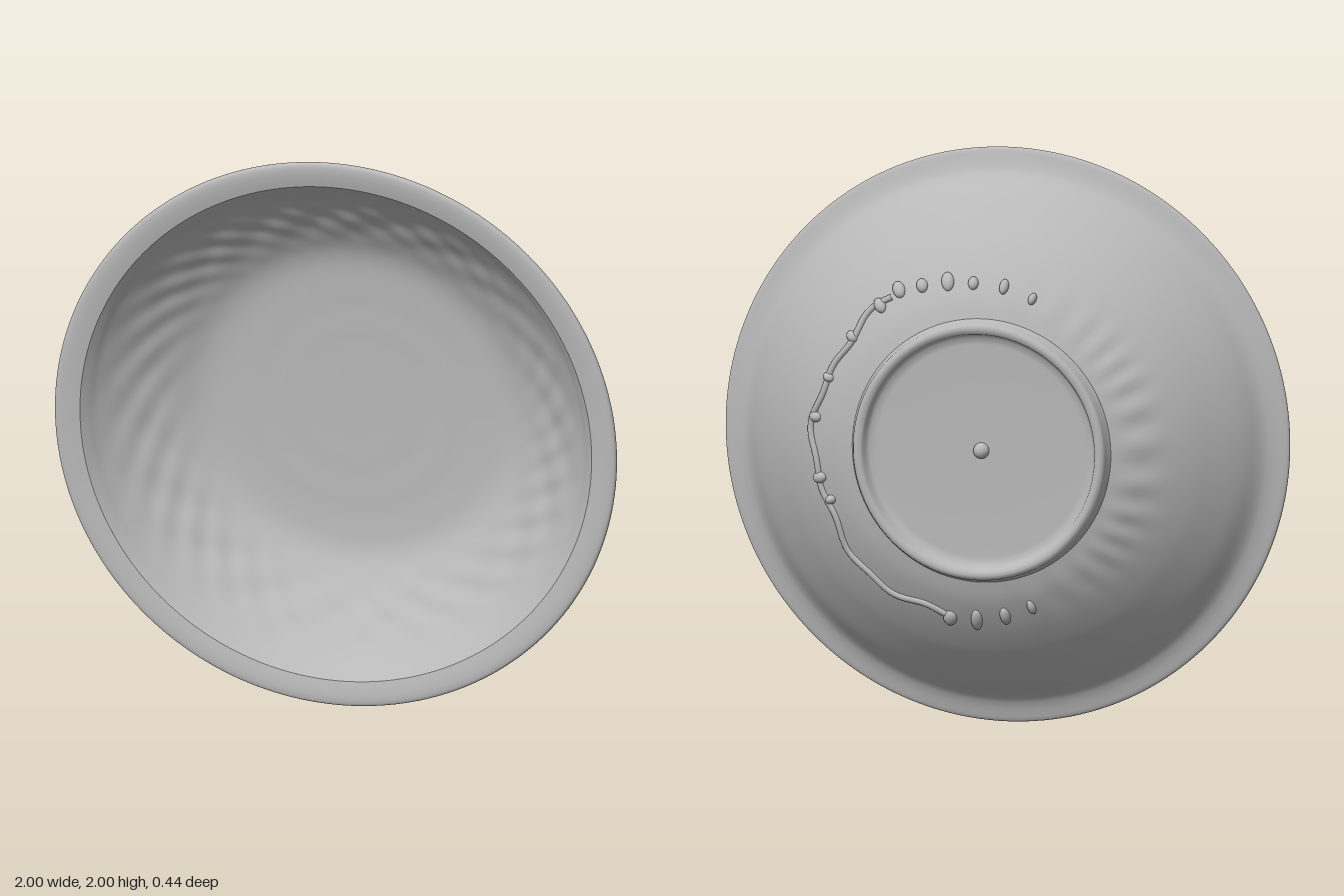
import * as THREE from 'three';
import { mergeVertices } from 'three/addons/utils/BufferGeometryUtils.js';

const v2 = (a) => a.map(([r, z]) => new THREE.Vector2(r, z));
const smooth = (pts, n) => new THREE.SplineCurve(v2(pts)).getPoints(n);
const bell = (v, centre, width) => Math.exp(-(((v - centre) / width) ** 2));

// profile pieces as (radius, depth along the bowl's axis)
const outerWall = smooth([[0.458, -0.172], [0.53, -0.148], [0.62, -0.1], [0.7, -0.045], [0.76, 0.005],
  [0.85, 0.09], [0.905, 0.155], [0.94, 0.178], [0.985, 0.192]], 40);
const innerWall = smooth([[0.91, 0.207], [0.888, 0.18], [0.86, 0.142], [0.8, 0.08], [0.72, 0.013],
  [0.63, -0.05], [0.55, -0.09], [0.45, -0.105], [0.25, -0.113], [0.0, -0.115]], 56);

// depth of the outer wall at a radius
function outerDepth(r) {
  const i = Math.max(1, outerWall.findIndex((p) => p.x >= r));
  const a = outerWall[i - 1], b = outerWall[i];
  return a.y + ((r - a.x) / (b.x - a.x)) * (b.y - a.y);
}

// lathe a profile about z, shift its depth by a rule, and weld the seam
function turned(name, profile, material, rule) {
  let geo = new THREE.LatheGeometry(profile, 200);
  geo.rotateX(Math.PI / 2);
  const p = geo.attributes.position;
  for (let i = 0; i < p.count; i++) {
    const x = p.getX(i), y = p.getY(i);
    p.setZ(i, p.getZ(i) + rule(Math.hypot(x, y), Math.atan2(y, x)));
  }
  geo.deleteAttribute('normal');
  geo.deleteAttribute('uv');
  geo = mergeVertices(geo, 1e-5);
  geo.computeVertexNormals();
  const mesh = new THREE.Mesh(geo, material);
  mesh.name = name;
  return mesh;
}

export function createModel() {
  const clay = new THREE.MeshStandardMaterial({ color: 0xb8b8b8 });
  clay.name = 'grey glaze';
  const group = new THREE.Group();
  group.name = 'bowl';
  const dish = new THREE.Group();
  dish.name = 'dish';
  dish.position.y = 1;
  group.add(dish);

  // outside with soft radial furrows around one side of the foot
  dish.add(turned('outerWall', outerWall, clay, (r, a) =>
    0.005 * bell(r, 0.56, 0.06) * Math.max(0, -Math.cos(a)) * Math.sin(34 * a + 2 * Math.sin(5 * a))));

  // rounded lip joining outside and inside
  dish.add(turned('rim', smooth([[0.985, 0.192], [0.996, 0.197], [0.999, 0.206], [0.992, 0.216],
    [0.97, 0.218], [0.94, 0.214], [0.91, 0.207]], 20), clay, () => 0));

  // inside with a hand-worked uneven wall and faint throwing rings on the floor
  dish.add(turned('innerWall', innerWall, clay, (r, a) =>
    0.0035 * bell(r, 0.74, 0.09) * (Math.sin(19 * a + 40 * r) + Math.sin(31 * a - 55 * r + 2 * Math.sin(3 * a)))
    + 0.001 * bell(r, 0.3, 0.15) * Math.sin(45 * r + a)));

  // foot ring and recessed underside, with a slightly uneven edge
  const foot = v2([[0, -0.174], [0.2, -0.176], [0.37, -0.178], [0.395, -0.182], [0.405, -0.195], [0.41, -0.212],
    [0.417, -0.221], [0.43, -0.223], [0.441, -0.22], [0.446, -0.21], [0.449, -0.19], [0.458, -0.172]]);
  dish.add(turned('footRing', foot, clay, (r, a) =>
    0.0025 * bell(r, 0.425, 0.015) * Math.sin(5 * a + Math.sin(3 * a))));

  // small turning nub in the middle of the underside
  const nub = new THREE.Mesh(new THREE.SphereGeometry(0.028, 20, 14), clay);
  nub.name = 'centreNub';
  nub.position.set(0, 0, -0.175);
  dish.add(nub);

  // wavy edge where the glaze stopped
  const edgeRadius = (a) => 0.605 + 0.012 * Math.sin(7 * a + 1) + 0.007 * Math.sin(17 * a);
  const onWall = (a, r, lift = 0) =>
    new THREE.Vector3(r * Math.cos(a), r * Math.sin(a), outerDepth(r) - lift);
  const path = [];
  for (let i = 0; i <= 90; i++) {
    const a = THREE.MathUtils.degToRad(-78 + i * 1.5);
    path.push(onWall(a, edgeRadius(a)));
  }
  const edge = new THREE.Mesh(
    new THREE.TubeGeometry(new THREE.CatmullRomCurve3(path), 220, 0.012, 10), clay);
  edge.name = 'glazeEdge';
  dish.add(edge);

  // beads of glaze: angle in degrees, radius on the wall, length, width
  const beads = [[52, 0.61, 0.03, 0.02], [60, 0.62, 0.032, 0.022], [68, 0.6, 0.026, 0.02], [77, 0.59, 0.035, 0.022],
    [86, 0.575, 0.024, 0.018], [97, 0.57, 0.028, 0.016], [108, 0.555, 0.022, 0.014], [38, 0.6, 0.024, 0.018],
    [22, 0.6, 0.022, 0.016], [8, 0.61, 0.024, 0.018], [-12, 0.6, 0.028, 0.02], [-20, 0.58, 0.02, 0.016],
    [-78, 0.61, 0.03, 0.024], [-87, 0.6, 0.042, 0.02], [-97, 0.585, 0.034, 0.018], [-107, 0.57, 0.028, 0.014]];
  for (const [deg, r, length, width] of beads) {
    const a = THREE.MathUtils.degToRad(deg);
    const bead = new THREE.Mesh(new THREE.SphereGeometry(1, 16, 12), clay);
    bead.name = 'glazeBead';
    bead.scale.set(length, width, 0.018);
    bead.position.copy(onWall(a, r, 0.002));
    bead.rotation.set(0, -0.5, a, 'ZYX');
    dish.add(bead);
  }
  return group;
}
